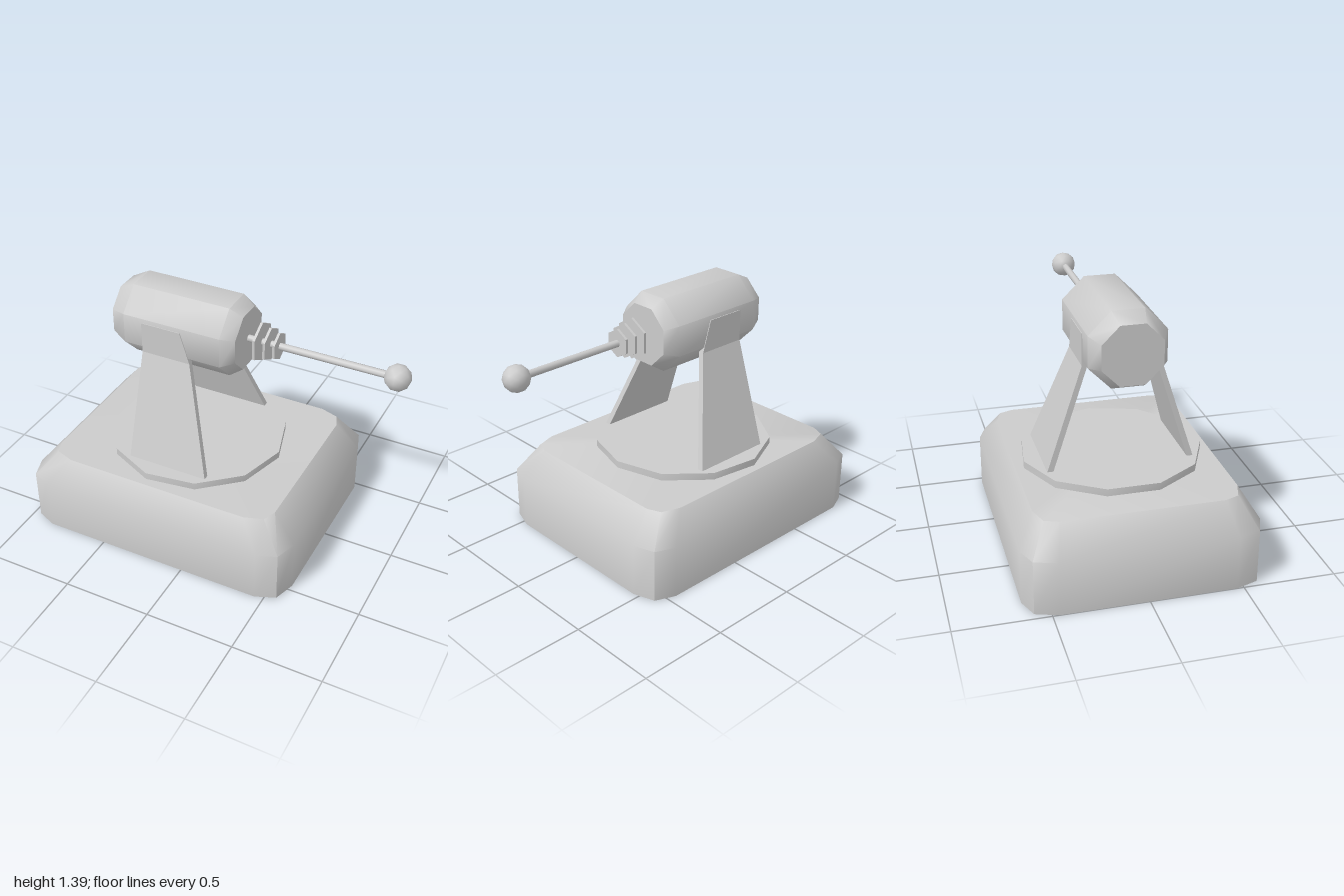
import * as THREE from 'three';
import { toCreasedNormals } from 'three/addons/utils/BufferGeometryUtils.js';

const CREASE = 0.82; // softens 45 degree facets, keeps steeper edges sharp
const AXIS_Y = 1.185; // height of the barrel axis
const material = new THREE.MeshStandardMaterial({ color: 0xcccccc });

function part(name, geometry, crease = CREASE) {
  const mesh = new THREE.Mesh(crease ? toCreasedNormals(geometry, crease) : geometry, material);
  mesh.name = name;
  return mesh;
}

// Mirrors three corner points into a closed 12-point outline
function outline(corner) {
  const back = [...corner].reverse();
  return [[1, 1, corner], [-1, 1, back], [-1, -1, corner], [1, -1, back]]
    .flatMap(([sx, sz, pts]) => pts.map(([x, z]) => [x * sx, z * sz]));
}

// Joins outlines stacked in y and closes both ends
function loft(sections) {
  const n = sections[0].points.length;
  const positions = [], index = [];
  sections.forEach(({ y, points }) => points.forEach(([x, z]) => positions.push(x, y, z)));
  const last = (sections.length - 1) * n;
  const bottom = sections.length * n, top = bottom + 1;
  positions.push(0, sections[0].y, 0, 0, sections.at(-1).y, 0);
  for (let i = 0; i < n; i++) {
    const j = (i + 1) % n;
    for (let r = 0; r < last; r += n) {
      index.push(r + i, r + n + i, r + j, r + j, r + n + i, r + n + j);
    }
    index.push(bottom, i, j, top, last + j, last + i);
  }
  const geometry = new THREE.BufferGeometry();
  geometry.setAttribute('position', new THREE.Float32BufferAttribute(positions, 3));
  geometry.setIndex(index);
  geometry.computeVertexNormals();
  return geometry;
}

// Cylinder lying along x
function barX(radius, x0, x1, sides) {
  return new THREE.CylinderGeometry(radius, radius, x1 - x0, sides, 1, false, Math.PI / 2)
    .rotateZ(-Math.PI / 2).translate((x0 + x1) / 2, AXIS_Y, 0);
}

// Bent support plate whose front edge slopes back as it rises
function armGeometry(side) {
  const profile = [[0.405, 0.47], [0.21, 1.07], [0.21, 1.245], [0.18, 1.245], [0.18, 1.07], [0.372, 0.47]];
  const shape = new THREE.Shape(profile.map(([z, y]) => new THREE.Vector2(-side * z, y)));
  const geometry = new THREE.ExtrudeGeometry(shape, { depth: 1, bevelEnabled: false });
  const p = geometry.attributes.position;
  for (let i = 0; i < p.count; i++) {
    const y = p.getY(i);
    const width = 0.465 - 0.311 * (y - 0.49);
    p.setXYZ(i, -0.43 + p.getZ(i) * width, y, -p.getX(i));
  }
  return geometry;
}

export function createModel() {
  const model = new THREE.Group();
  model.name = 'turret';

  // Base block with cut corners and sloping shoulders
  const wide = outline([[0.8, 0.465], [0.76, 0.585], [0.65, 0.63]]);
  const narrow = outline([[0.67, 0.43], [0.64, 0.505], [0.535, 0.54]]);
  const base = part('base', loft([
    { y: 0, points: wide }, { y: 0.3, points: wide }, { y: 0.45, points: narrow },
  ]));
  base.position.x = -0.2;
  model.add(base);

  // Turntable
  const turntable = part('turntable',
    new THREE.CylinderGeometry(0.5, 0.5, 0.06, 11, 1, false, Math.PI / 2));
  turntable.position.set(-0.205, 0.46, 0);
  model.add(turntable);

  // Support arms
  model.add(part('leftArm', armGeometry(1), 0.2), part('rightArm', armGeometry(-1), 0.2));

  // Eight-sided barrel with bevelled ends
  const k = 1 / Math.cos(Math.PI / 8);
  const profile = [[0, -0.635], [0.16, -0.635], [0.206, -0.54], [0.206, 0.03], [0.16, 0.1], [0, 0.1]]
    .map(([r, x]) => new THREE.Vector2(r * k, x));
  const barrel = part('barrel', new THREE.LatheGeometry(profile, 8)
    .rotateY(Math.PI / 8).rotateZ(-Math.PI / 2));
  barrel.position.y = AXIS_Y;
  model.add(barrel);

  // Rod with shrinking hexagonal plates and a ball tip
  model.add(part('rod', barX(0.02, 0.08, 0.9, 8)));
  [[0.175, 0.115], [0.226, 0.097], [0.275, 0.079]].forEach(([x, r], i) => {
    model.add(part(`plate${i + 1}`, barX(r, x - 0.007, x + 0.007, 6)));
  });
  const ball = part('ballTip', new THREE.IcosahedronGeometry(0.072, 1), 0);
  ball.position.set(0.928, AXIS_Y, 0);
  model.add(ball);

  return model;
}
